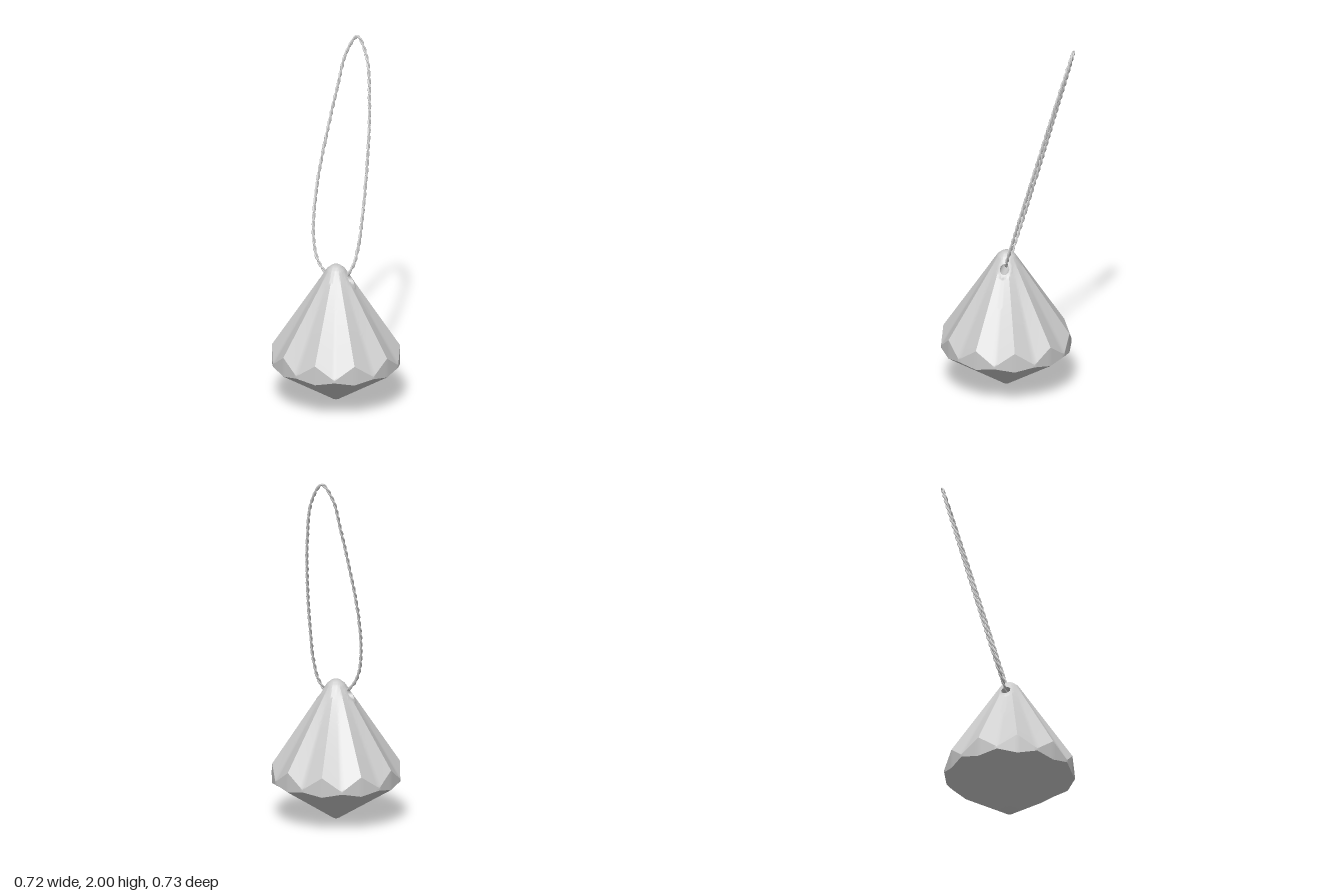
import * as THREE from 'three';
import { toCreasedNormals } from 'three/addons/utils/BufferGeometryUtils.js';

const grey = () => new THREE.MeshStandardMaterial({ color: 0xcccccc });

// Radius/height profiles of the gem: along a ridge and along the valley between two ridges
const RIDGE = [[0, 0.79], [0.025, 0.785], [0.05, 0.765], [0.35, 0.32], [0.35, 0.21], [0.02, 0.008], [0, 0]];
const VALLEY = [[0, 0.79], [0.025, 0.785], [0.05, 0.765], [0.36, 0.245], [0.36, 0.232], [0.02, 0.008], [0, 0]];
const ROWS = [2, 3, 60, 4, 8, 2]; // subdivisions between profile points
const SIDES = 20, SUB = 6;

// Cord hole running along x near the tip
const HOLE = { y: 0.71, z: -0.005, r: 0.026 };
const crownX = (y, z) => Math.sqrt(Math.max(0, (0.05 + (0.765 - y) * 0.64) ** 2 - z * z));

function profilePoint(profile, seg, f, angle) {
  const [r0, y0] = profile[seg], [r1, y1] = profile[seg + 1];
  const r = r0 + (r1 - r0) * f;
  return new THREE.Vector3(r * Math.cos(angle), y0 + (y1 - y0) * f, r * Math.sin(angle));
}

// Pushes points near the hole outwards so that its edge becomes a clean circle
function openHole(p) {
  const dy = p.y - HOLE.y, dz = p.z - HOLE.z, d = Math.hypot(dy, dz);
  const core = HOLE.r * 0.6, outer = HOLE.r * 1.6;
  if (d >= outer || p.y < 0.6) return false;
  const k = (HOLE.r + Math.max(0, d - core) * (outer - HOLE.r) / (outer - core)) / Math.max(d, 1e-5);
  const y = HOLE.y + dy * k, z = HOLE.z + dz * k;
  p.set(Math.sign(p.x) * crownX(y, z), y, z);
  return d <= core;
}

function gemGeometry() {
  const steps = [];
  ROWS.forEach((n, seg) => { for (let i = 0; i < n; i++) steps.push([seg, i / n]); });
  steps.push([ROWS.length - 1, 1]);

  const cols = SIDES * SUB, grid = [], inside = [];
  for (const [seg, f] of steps) {
    for (let c = 0; c < cols; c++) {
      const side = Math.floor(c / SUB);
      const corner = (s) => profilePoint(s % 2 ? RIDGE : VALLEY, seg, f, s * Math.PI * 2 / SIDES);
      const p = corner(side).lerp(corner(side + 1), (c % SUB) / SUB);
      inside.push(openHole(p));
      grid.push(p);
    }
  }

  const pos = [];
  const tri = (...ids) => {
    if (ids.every((i) => inside[i])) return;
    const [a, b, c] = ids.map((i) => grid[i]);
    if (new THREE.Triangle(a, b, c).getArea() < 1e-10) return;
    for (const p of [a, b, c]) pos.push(p.x, p.y, p.z);
  };
  for (let j = 0; j < steps.length - 1; j++) {
    for (let c = 0; c < cols; c++) {
      const a = j * cols + c, b = j * cols + (c + 1) % cols;
      tri(a, b, b + cols);
      tri(a, b + cols, a + cols);
    }
  }
  const geo = new THREE.BufferGeometry();
  geo.setAttribute('position', new THREE.Float32BufferAttribute(pos, 3));
  return toCreasedNormals(geo, 0.55);
}

// Open tunnel whose ends follow the slope of the gem
function tunnelGeometry() {
  const geo = new THREE.CylinderGeometry(HOLE.r, HOLE.r, 1, 32, 1, true).rotateZ(-Math.PI / 2);
  const p = geo.attributes.position;
  for (let i = 0; i < p.count; i++) {
    const y = p.getY(i) + HOLE.y, z = p.getZ(i) + HOLE.z;
    p.setXYZ(i, Math.sign(p.getX(i)) * crownX(y, z), y, z);
  }
  geo.computeVertexNormals();
  return geo;
}

// One strand winding around the closed centre line of the cord
class StrandCurve extends THREE.Curve {
  constructor(path, normal, phase) {
    super();
    Object.assign(this, { path, normal, phase });
  }
  getPoint(t, target = new THREE.Vector3()) {
    const u = t % 1, angle = u * Math.PI * 2 * 32 + this.phase;
    const side = this.path.getTangentAt(u).cross(this.normal).normalize();
    return target.copy(this.path.getPointAt(u))
      .addScaledVector(side, 0.0045 * Math.cos(angle))
      .addScaledVector(this.normal, 0.0045 * Math.sin(angle));
  }
}

export function createModel() {
  const model = new THREE.Group();

  // Faceted pendant
  const pendant = new THREE.Group();
  pendant.name = 'pendant';
  pendant.position.z = 0.017;
  const gem = new THREE.Mesh(gemGeometry(), grey());
  gem.name = 'gem';
  const tunnel = new THREE.Mesh(tunnelGeometry(), grey());
  tunnel.name = 'cordHole';
  tunnel.material.side = THREE.DoubleSide;
  pendant.add(gem, tunnel);
  model.add(pendant);

  // Twisted cord loop, lying in a plane that leans backwards
  const lean = 0.287;
  const outline = [
    [0, 0.705], [0.05, 0.722], [0.09, 0.785], [0.113, 0.92], [0.118, 1.12], [0.116, 1.36], [0.098, 1.65],
    [0.06, 1.88], [-0.005, 1.988], [-0.06, 1.9], [-0.092, 1.72], [-0.13, 1.46], [-0.158, 1.2],
    [-0.16, 1.0], [-0.142, 0.86], [-0.105, 0.775], [-0.05, 0.722],
  ];
  const path = new THREE.CatmullRomCurve3(
    outline.map(([x, y]) => new THREE.Vector3(x, y, 0.012 - (y - 0.71) * lean)), true);
  path.arcLengthDivisions = 1000;
  const normal = new THREE.Vector3(0, lean, 1).normalize();

  const cord = new THREE.Group();
  cord.name = 'cord';
  for (let i = 0; i < 2; i++) {
    const strand = new THREE.Mesh(
      new THREE.TubeGeometry(new StrandCurve(path, normal, i * Math.PI), 800, 0.0052, 7, true), grey());
    strand.name = 'cordStrand';
    cord.add(strand);
  }
  model.add(cord);
  return model;
}
